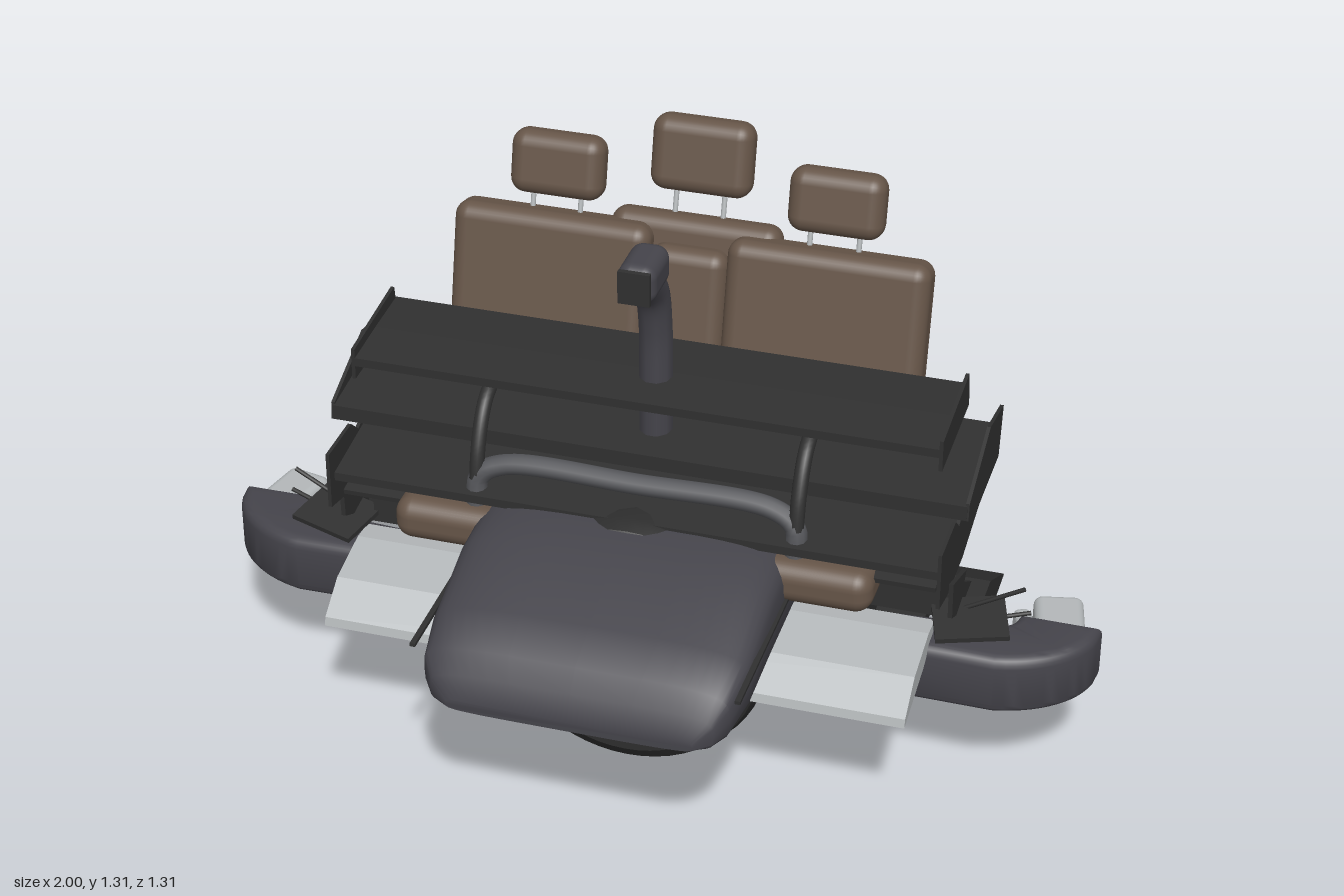
import * as THREE from 'three';
import { toCreasedNormals } from 'three/addons/utils/BufferGeometryUtils.js';
import { RoundedBoxGeometry } from 'three/addons/geometries/RoundedBoxGeometry.js';

const mat = (color) => new THREE.MeshStandardMaterial({ color, side: THREE.DoubleSide });

export function createModel() {
  const model = new THREE.Group();
  const brown = mat(0x665548), slate = mat(0x45444b), black = mat(0x303030);
  const silver = mat(0xb4b8ba), tyreMat = mat(0x2c2c2c), grey = mat(0x55565a);
  const red = mat(0xcc3311), blue = mat(0x3a4260);

  const add = (name, geo, m, x = 0, y = 0, z = 0, rx = 0, ry = 0, rz = 0) => {
    const mesh = new THREE.Mesh(geo, m);
    mesh.name = name;
    mesh.position.set(x, y, z);
    mesh.rotation.set(rx, ry, rz);
    model.add(mesh);
    return mesh;
  };
  const box = (w, h, d) => new THREE.BoxGeometry(w, h, d);
  const soft = (w, h, d, r) => new RoundedBoxGeometry(w, h, d, 4, r);
  const shapeOf = (pts) => new THREE.Shape(pts.map(([a, b]) => new THREE.Vector2(a, b)));
  // outline given as [z, y], extruded across x and centred
  const sidePlate = (pts, w) => {
    const g = new THREE.ExtrudeGeometry(shapeOf(pts), { depth: w, bevelEnabled: false });
    return g.translate(0, 0, -w / 2).rotateY(-Math.PI / 2);
  };
  const tube = (pts, r, n = 24) => new THREE.TubeGeometry(
    new THREE.CatmullRomCurve3(pts.map((p) => new THREE.Vector3(...p))), n, r, 10);
  const rod = (name, a, b, r, m) => add(name, tube([a, b], r, 1), m);

  // loft of squarish ellipses along z; rows are [z, halfWidth, bottom, top]
  function loft(rows, seg = 40) {
    const pos = [], idx = [];
    const pw = (v) => Math.sign(v) * Math.pow(Math.abs(v), 0.45);
    rows.forEach(([z, w, y0, y1]) => {
      for (let i = 0; i < seg; i++) {
        const t = (i / seg) * Math.PI * 2;
        pos.push(w * pw(Math.cos(t)), (y0 + y1) / 2 + (y1 - y0) / 2 * pw(Math.sin(t)), z);
      }
    });
    for (let r = 0; r < rows.length - 1; r++) for (let i = 0; i < seg; i++) {
      const a = r * seg + i, b = r * seg + (i + 1) % seg;
      idx.push(a, b, a + seg, b, b + seg, a + seg);
    }
    const last = (rows.length - 1) * seg;
    for (let i = 1; i < seg - 1; i++) idx.push(0, i + 1, i, last, last + i, last + i + 1);
    const g = new THREE.BufferGeometry();
    g.setAttribute('position', new THREE.Float32BufferAttribute(pos, 3));
    g.setIndex(idx);
    return toCreasedNormals(g, 0.7);
  }

  // cargo box with its seam and mounting feet
  add('cargoBox', loft([
    [-0.652, 0.26, 0.45, 0.54], [-0.64, 0.3, 0.42, 0.565], [-0.61, 0.335, 0.39, 0.59],
    [-0.56, 0.35, 0.37, 0.61], [-0.47, 0.353, 0.368, 0.622], [0.2, 0.353, 0.368, 0.614],
    [0.32, 0.353, 0.368, 0.605], [0.5, 0.35, 0.368, 0.54], [0.6, 0.335, 0.368, 0.505],
    [0.635, 0.31, 0.37, 0.46], [0.655, 0.27, 0.378, 0.41],
  ]), slate);
  for (const s of [-1, 1]) {
    add('cargoSeam', box(0.012, 0.008, 1.23), black, s * 0.354, 0.499, 0);
    for (const z of [0.415, -0.382]) add('mountingFoot', soft(0.06, 0.045, 0.085, 0.01), black, s * 0.26, 0.347, z);
  }

  // bench seat
  add('seatCushion', soft(1.08, 0.1, 0.41, 0.04), brown, 0, 0.537, 0.035);
  const lean = -0.225;
  for (const s of [-1, 1]) {
    add('seatBack', soft(0.455, 0.51, 0.1, 0.035), brown, s * 0.315, 0.838, -0.21, lean);
    add('headrest', soft(0.215, 0.145, 0.08, 0.035), brown, s * 0.317, 1.185, -0.3, lean);
    for (const d of [-0.055, 0.055])
      rod('headrestPost', [s * 0.317 + d, 1.05, -0.265], [s * 0.317 + d, 1.14, -0.288], 0.006, silver);
  }
  add('middleSeatBack', soft(0.18, 0.47, 0.1, 0.035), brown, 0, 0.82, -0.21, lean);
  add('centreBackPad', soft(0.39, 0.51, 0.08, 0.035), brown, 0, 0.85, -0.255, lean);
  add('centreHeadrest', soft(0.23, 0.17, 0.08, 0.035), brown, 0, 1.228, -0.35, lean);
  for (const s of [-1, 1]) rod('headrestPost', [s * 0.055, 1.08, -0.31], [s * 0.055, 1.17, -0.335], 0.006, silver);

  // air intake pipe
  add('intakePipe', tube([[0, 0.66, 0.015], [0, 0.85, 0.016], [0, 1.0, 0.018], [0, 1.09, 0.04], [0, 1.16, 0.1]], 0.038, 32), slate);
  add('intakeHead', soft(0.085, 0.09, 0.14, 0.03), slate, 0, 1.175, 0.105);
  add('intakeGrille', box(0.07, 0.075, 0.012), black, 0, 1.175, 0.172);

  // stacked wings: blade outlines and end plates in [z, y]
  const wings = [
    { half: 0.655, blade: [[0.13, 0.852], [-0.13, 0.877], [-0.13, 0.885], [0.0, 0.88], [0.13, 0.872]],
      end: [[0.13, 0.82], [0.13, 0.893], [-0.12, 0.915], [-0.135, 0.83]] },
    { half: 0.715, blade: [[0.12, 0.7], [-0.18, 0.745], [-0.18, 0.765], [0.0, 0.748], [0.12, 0.735]],
      end: [[0.12, 0.7], [0.115, 0.74], [-0.08, 0.815], [-0.225, 0.785], [-0.2, 0.67], [0.02, 0.67]] },
    { half: 0.685, blade: [[0.21, 0.6], [0, 0.625], [-0.2, 0.64], [-0.2, 0.655], [0.0, 0.645], [0.21, 0.62]],
      end: [[0.235, 0.545], [0.235, 0.68], [0.1, 0.68], [0.06, 0.645], [-0.03, 0.675], [-0.21, 0.67], [-0.2, 0.565], [0.0, 0.525], [0.15, 0.525]] },
  ];
  for (const w of wings) {
    add('wingBlade', sidePlate(w.blade, w.half * 2), black);
    for (const s of [-1, 1]) add('wingEndPlate', sidePlate(w.end, 0.008), black, s * w.half);
  }
  add('lowerFlap', box(1.34, 0.012, 0.12), black, 0, 0.568, 0.13, 0.15);

  // hoop bar and wing stays
  add('hoopBar', tube([[-0.36, 0.58, 0.18], [-0.355, 0.65, 0.17], [-0.3, 0.68, 0.16], [0, 0.685, 0.16],
    [0.3, 0.68, 0.16], [0.355, 0.65, 0.17], [0.36, 0.58, 0.18]], 0.024, 60), grey);
  for (const s of [-1, 1])
    add('wingStay', tube([[s * 0.36, 0.6, 0.185], [s * 0.36, 0.72, 0.16], [s * 0.36, 0.8, 0.11], [s * 0.36, 0.835, 0.03]], 0.017), black);

  // wheel, axis along z
  const tyre = new THREE.LatheGeometry([[0.19, -0.1], [0.27, -0.105], [0.3, -0.085], [0.312, -0.05], [0.312, 0.05],
    [0.3, 0.085], [0.27, 0.105], [0.2, 0.1], [0.19, 0.07], [0.19, -0.1]].map((p) => new THREE.Vector2(...p)), 56);
  add('tyre', toCreasedNormals(tyre, 0.5), tyreMat, 0, 0.314, 0.155, Math.PI / 2);
  add('rimDisc', new THREE.CylinderGeometry(0.192, 0.192, 0.02, 48), silver, 0, 0.314, 0.225, Math.PI / 2);
  add('wheelBack', new THREE.CylinderGeometry(0.192, 0.192, 0.02, 48), black, 0, 0.314, 0.09, Math.PI / 2);
  add('hub', new THREE.CylinderGeometry(0.035, 0.04, 0.03, 24), grey, 0, 0.3, 0.245, Math.PI / 2);

  // sloped metal panels, front and rear
  add('frontPanel', sidePlate([[0.375, 0.325], [0.37, 0.345], [0.29, 0.4], [0.16, 0.425], [0.1, 0.42], [0.1, 0.4], [0.2, 0.36]], 1.31), silver);
  add('rearPanel', sidePlate([[-0.4, 0.325], [-0.4, 0.335], [-0.15, 0.37], [-0.15, 0.35]], 0.6), silver);

  // central body and rear diffuser
  add('bodyBlock', soft(1.0, 0.16, 0.28, 0.015), black, 0, 0.41, -0.04);
  add('diffuser', sidePlate([[-0.25, 0.325], [-0.24, 0.335], [-0.08, 0.42], [0, 0.42], [0, 0.36], [-0.13, 0.32]], 1.48), black);
  add('diffuserSlot', box(1.0, 0.006, 0.025), blue, 0, 0.326, -0.17, -0.1);
  add('underTray', box(1.2, 0.03, 0.26), black, 0, 0.285, -0.01);
  add('lowerBlock', box(0.9, 0.05, 0.16), black, 0, 0.245, 0.03);

  // curved side bumpers, plan outline as [x, -z]
  const plan = new THREE.Shape();
  plan.moveTo(0.55, -0.145);
  plan.lineTo(0.8, -0.148);
  plan.bezierCurveTo(0.9, -0.13, 0.97, -0.06, 0.975, 0.0);
  plan.lineTo(0.84, 0.0);
  plan.quadraticCurveTo(0.83, -0.05, 0.77, -0.055);
  plan.lineTo(0.55, -0.07);
  const bumper = toCreasedNormals(new THREE.ExtrudeGeometry(plan, { depth: 0.095, bevelThickness: 0.025,
    bevelSize: 0.025, bevelSegments: 4, curveSegments: 14 }).rotateX(-Math.PI / 2), 0.6);

  for (const s of [-1, 1]) {
    const b = add(s > 0 ? 'leftBumper' : 'rightBumper', bumper, slate, 0, 0.273, 0);
    b.scale.x = s;
    add('bumperEnd', soft(0.11, 0.12, 0.14, 0.02), silver, s * 0.9, 0.32, -0.065, 0, s * 0.22);
    add('bumperTip', soft(0.04, 0.1, 0.1, 0.015), silver, s * 0.835, 0.32, -0.03, 0, s * 0.5);
    // slanted side fins
    add('sideFin', sidePlate([[0.145, 0.55], [0.0, 0.495], [0.02, 0.475], [-0.1, 0.4], [-0.25, 0.325], [-0.14, 0.32], [0.14, 0.46]], 0.01), black, s * 0.695);
    add('finShelf', box(0.16, 0.012, 0.13), black, s * 0.73, 0.43, 0.09, 0.15, s * 0.3);
    add('sidePanel', box(0.14, 0.05, 0.16), silver, s * 0.6, 0.52, 0.0);
    add('sideBox', box(0.16, 0.09, 0.18), black, s * 0.57, 0.455, -0.02);
    rod('upperRod', [s * 0.7, 0.43, 0.06], [s * 0.84, 0.51, 0.06], 0.005, black);
    rod('lowerRod', [s * 0.72, 0.415, 0.08], [s * 0.855, 0.445, 0.05], 0.005, black);
    // lamps
    add('lamp', soft(0.06, 0.085, 0.1, 0.025), silver, s * 0.5, 0.28, 0.15);
    add('marker', box(0.02, 0.03, 0.02), red, s * 0.555, 0.31, 0.19);
    rod('brace', [s * 0.37, 0.4, 0.18], [s * 0.44, 0.24, 0.14], 0.01, black);
    rod('brace', [s * 0.45, 0.4, 0.18], [s * 0.36, 0.26, 0.14], 0.01, black);
    // splayed struts underneath
    rod('strut', [s * 0.24, 0.26, 0.0], [s * 0.47, 0.06, 0.005], 0.014, grey);
    rod('strut', [s * 0.32, 0.18, 0.01], [s * 0.46, 0.145, 0.01], 0.01, black);
    rod('strutBlade', [s * 0.36, 0.22, 0.0], [s * 0.535, 0.145, 0.0], 0.007, silver);
    add('strutBracket', box(0.14, 0.08, 0.04), black, s * 0.38, 0.2, -0.01, 0, 0, -s * 0.6);
    add('rearBolt', new THREE.CylinderGeometry(0.014, 0.014, 0.05, 12), silver, s * 0.08, 0.27, -0.14, Math.PI / 2);
  }
  return model;
}
